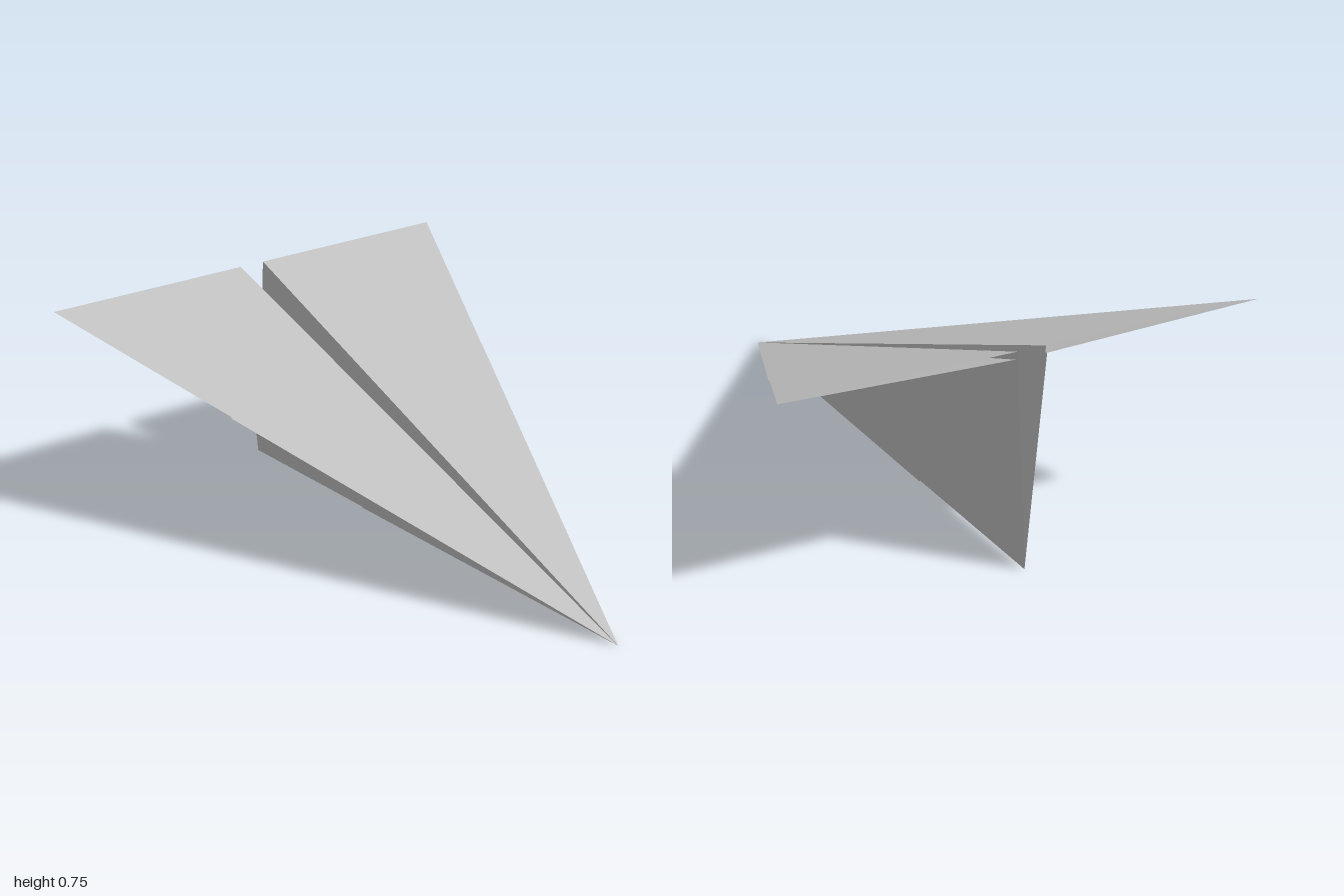
import * as THREE from 'three';

// Folded paper dart: every panel is a flat triangle that starts at the nose.
const NOSE = [1, 0, 0];
const KEEL_Z = -0.003;

export function createModel() {
  const group = new THREE.Group();
  group.name = 'paperPlane';
  const paper = new THREE.MeshStandardMaterial({ color: 0xc0c0c0, side: THREE.DoubleSide });
  paper.name = 'paper grey';

  // side: 1 = +z half, -1 = mirrored half with reversed corner order
  function panel(name, side, a, b) {
    const corners = side > 0 ? [NOSE, a, b] : [NOSE, b, a];
    const points = corners.map(([x, y, z]) => new THREE.Vector3(x, y, KEEL_Z + side * z));
    const geometry = new THREE.BufferGeometry().setFromPoints(points);
    geometry.computeVertexNormals();
    const mesh = new THREE.Mesh(geometry, paper);
    mesh.name = name;
    group.add(mesh);
  }

  // Corners at the tail
  const keel = [-1, 0, 0];
  const innerHinge = [-1, 0.755, 0.05];
  const outerHinge = [-1, 0.73, 0.055];
  const tip = [-1, 0.755, 0.838];

  // Corners of the short nose fold, a third of the way from the tail
  const foldKeel = [-0.33, 0, 0.005];
  const foldHinge = [-0.33, 0.467, 0.043];
  const foldTip = [-0.33, 0.499, 0.56];

  for (const [label, side] of [['left', -1], ['right', 1]]) {
    // Upper sheet and inside of the body
    panel(label + 'WingTop', side, innerHinge, tip);
    panel(label + 'BodyInside', side, keel, innerHinge);
    // Lower sheet and outside of the body
    panel(label + 'WingUnderside', side, tip, outerHinge);
    panel(label + 'BodyOutside', side, outerHinge, keel);
    // Extra layer folded over the front
    panel(label + 'NoseFoldWing', side, foldTip, foldHinge);
    panel(label + 'NoseFoldBody', side, foldHinge, foldKeel);
  }
  return group;
}
